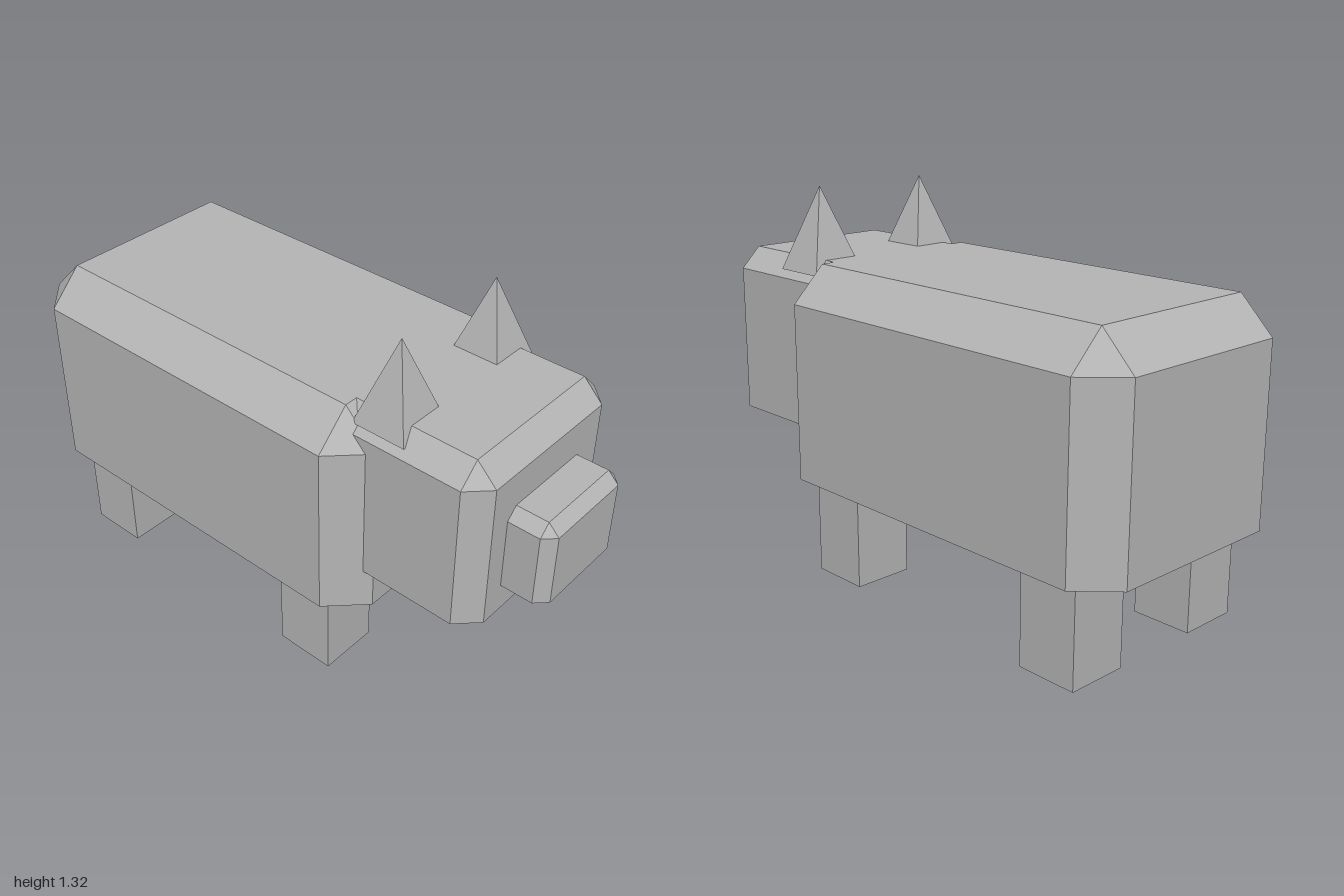
import * as THREE from 'three';

const hide = new THREE.MeshStandardMaterial({ color: 0xb4b4b4, side: THREE.DoubleSide, flatShading: true });
hide.name = 'grey hide';

function add(group, name, geometry) {
  const mesh = new THREE.Mesh(geometry, hide);
  mesh.name = name;
  group.add(mesh);
  return mesh;
}

// Box with chamfered upright edges and top edges; the underside is flat or open
function chamferedBox(x0, x1, y0, y1, halfZ, b, closedBottom) {
  const ring = (y) => [
    [x1, y, halfZ - b], [x1, y, b - halfZ],
    [x1 - b, y, -halfZ], [x0 + b, y, -halfZ],
    [x0, y, b - halfZ], [x0, y, halfZ - b],
    [x0 + b, y, halfZ], [x1 - b, y, halfZ],
  ];
  const low = ring(y0);
  const high = ring(y1 - b);
  // Each pair of ring points meets one corner of the inset top face
  const a = [x1 - b, y1, halfZ - b], c = [x1 - b, y1, b - halfZ];
  const d = [x0 + b, y1, b - halfZ], e = [x0 + b, y1, halfZ - b];
  const top = [a, c, c, d, d, e, e, a];
  const pos = [];
  const tri = (...pts) => pts.forEach((p) => pos.push(...p));
  for (let i = 0; i < 8; i++) {
    const j = (i + 1) % 8;
    tri(low[i], low[j], high[j]);
    tri(low[i], high[j], high[i]);
    tri(high[i], high[j], top[j]);
    if (top[i] !== top[j]) tri(high[i], top[j], top[i]);
  }
  tri(a, c, d);
  tri(a, d, e);
  if (closedBottom) {
    for (let i = 1; i < 7; i++) tri(low[0], low[i + 1], low[i]);
  }
  const geometry = new THREE.BufferGeometry();
  geometry.setAttribute('position', new THREE.Float32BufferAttribute(pos, 3));
  geometry.computeVertexNormals();
  return geometry;
}

// Open-ended square tube or pyramid, turned so its sides face the axes
function squareColumn(topWidth, bottomWidth, height) {
  const r = Math.SQRT1_2;
  return new THREE.CylinderGeometry(topWidth * r, bottomWidth * r, height, 4, 1, true).rotateY(Math.PI / 4);
}

export function createModel() {
  const model = new THREE.Group();
  model.name = 'hornedAnimal';

  // Trunk, head and muzzle, overlapping along x
  add(model, 'body', chamferedBox(-1, 0.46, 0.343, 1.075, 0.437, 0.12, false));
  add(model, 'head', chamferedBox(0.2, 0.85, 0.49, 1.075, 0.34, 0.071, true));
  add(model, 'snout', chamferedBox(0.75, 1, 0.59, 0.88, 0.195, 0.038, true));

  for (const [side, s] of [['Front', 1], ['Back', -1]]) {
    // Pointed horns
    add(model, 'horn' + side, squareColumn(0, 0.195, 0.287)).position.set(0.465, 1.172, s * 0.225);
    // Open legs
    for (const [end, x] of [['head', 0.215], ['tail', -0.757]]) {
      add(model, end + 'Leg' + side, squareColumn(0.213, 0.213, 0.343)).position.set(x, 0.1715, s * 0.269);
    }
  }
  return model;
}
